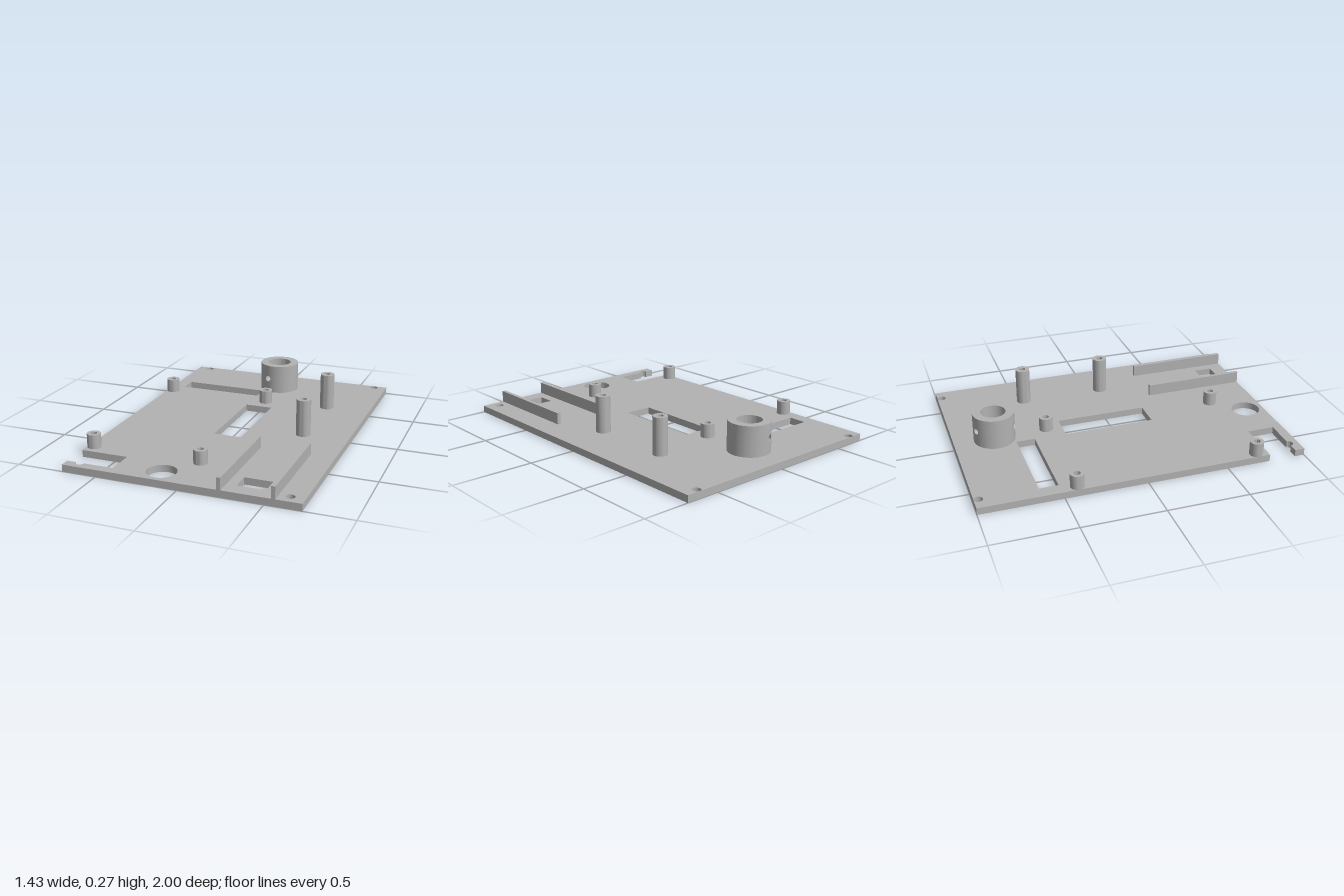
import * as THREE from 'three';
import { toCreasedNormals } from 'three/addons/utils/BufferGeometryUtils.js';

const HALF_W = 0.712, PLATE_TOP = 0.043;

export function createModel() {
  const model = new THREE.Group();
  model.name = 'mountingPlate';
  const grey = new THREE.MeshStandardMaterial({ color: 0xb2b2b2 });
  grey.name = 'plastic grey';

  const add = (name, geometry, x = 0, y = 0, z = 0, parent = model) => {
    const mesh = new THREE.Mesh(geometry, grey);
    mesh.name = name;
    mesh.position.set(x, y, z);
    parent.add(mesh);
    return mesh;
  };

  // Base plate, drawn in plan with shape y = -z; the corner cut-out leaves a thin strip
  const plan = new THREE.Shape();
  plan.moveTo(-HALF_W, 1);
  plan.lineTo(-HALF_W, -0.77);
  plan.lineTo(-0.418, -0.77);
  plan.lineTo(-0.418, -0.94);
  plan.lineTo(-0.602, -0.94);
  plan.absarc(-0.628, -0.94, 0.026, 2 * Math.PI, Math.PI, true);
  plan.lineTo(-HALF_W, -0.94);
  plan.lineTo(-HALF_W, -1);
  plan.lineTo(HALF_W, -1);
  plan.lineTo(HALF_W, 1);
  plan.closePath();

  // Rectangular openings: x0, x1, z0, z1
  for (const [x0, x1, z0, z1] of [
    [-0.63, -0.086, -0.63, -0.515],
    [-0.088, 0.086, -0.317, 0.25],
    [0.315, 0.483, 0.796, 0.91],
  ]) {
    plan.holes.push(new THREE.Path([
      new THREE.Vector2(x0, -z0), new THREE.Vector2(x1, -z0),
      new THREE.Vector2(x1, -z1), new THREE.Vector2(x0, -z1),
    ]));
  }
  // Round openings: x, z, radius
  for (const [x, z, r] of [
    [-0.628, -0.973, 0.026], [0.628, -0.973, 0.026], [0.628, 0.94, 0.026],
    [-0.143, 0.883, 0.089],
  ]) {
    plan.holes.push(new THREE.Path().absarc(x, -z, r, 0, 2 * Math.PI, false));
  }
  const plate = new THREE.ExtrudeGeometry(plan, { depth: PLATE_TOP, bevelEnabled: false, curveSegments: 32 });
  plate.rotateX(-Math.PI / 2);
  add('basePlate', toCreasedNormals(plate, 0.6));

  // Hollow screw posts standing on the plate
  const postGeometry = (outer, inner, height) => toCreasedNormals(new THREE.LatheGeometry([
    new THREE.Vector2(outer, 0), new THREE.Vector2(outer, height),
    new THREE.Vector2(inner, height), new THREE.Vector2(inner, 0),
  ], 32), 0.6);
  const shortPost = postGeometry(0.042, 0.02, 0.086);
  for (const x of [-0.672, 0.013])
    for (const z of [-0.417, 0.697]) add('shortPost', shortPost, x, PLATE_TOP, z);
  const tallPost = postGeometry(0.045, 0.02, 0.231);
  for (const z of [-0.46, 0.068]) add('tallPost', tallPost, 0.427, PLATE_TOP, z);

  // Pair of guide rails
  for (const x of [0.244, 0.552])
    add('guideRail', new THREE.BoxGeometry(0.023, 0.073, 0.642), x, PLATE_TOP + 0.0365, 0.679);

  // Large collar with a cross hole running front to back
  const collar = new THREE.Group();
  collar.name = 'collar';
  collar.position.set(0, PLATE_TOP, -0.747);
  model.add(collar);
  const outer = 0.128, inner = 0.076, height = 0.187;
  const hole = { x: -0.045, y: 0.094, r: 0.02, steps: 24 };
  add('collarWall', collarGeometry(outer, inner, height, hole), 0, 0, 0, collar);
  add('collarRim', new THREE.RingGeometry(inner, outer, 64).rotateX(-Math.PI / 2), 0, height, 0, collar);

  return model;
}

// Inner and outer tube walls split above and below the cross hole, plus the hole lining
function collarGeometry(outer, inner, height, hole) {
  const positions = [];
  const quad = (a, b, c, d) => positions.push(...a, ...b, ...c, ...a, ...c, ...d);
  const ring = [];
  for (let i = 0; i <= hole.steps; i++) {
    const t = (i / hole.steps) * 2 * Math.PI;
    ring.push([hole.x + hole.r * Math.cos(t), hole.y + hole.r * Math.sin(t)]);
  }

  for (const R of [outer, inner]) {
    // Angles from +z, with extra stations across both mouths of the hole
    const angles = [];
    for (let i = 0; i <= 64; i++) angles.push((i / 64) * 2 * Math.PI - Math.PI / 2);
    for (const [x] of ring.slice(0, hole.steps / 2 + 1)) {
      const a = Math.asin(x / R);
      angles.push(a, Math.PI - a);
    }
    angles.sort((p, q) => p - q);
    const point = (a, y) => [R * Math.sin(a), y, R * Math.cos(a)];
    const gap = (a) => Math.sqrt(Math.max(0, hole.r ** 2 - (R * Math.sin(a) - hole.x) ** 2));
    for (let i = 0; i < angles.length - 1; i++) {
      let [a, b] = [angles[i], angles[i + 1]];
      if (b - a < 1e-6) continue;
      if (R === inner) [a, b] = [b, a];
      quad(point(a, 0), point(b, 0), point(b, hole.y - gap(b)), point(a, hole.y - gap(a)));
      quad(point(a, hole.y + gap(a)), point(b, hole.y + gap(b)), point(b, height), point(a, height));
    }
  }

  // Lining of the hole through the front and back walls
  for (const side of [1, -1]) {
    const at = ([x, y], R) => [x, y, side * Math.sqrt(R * R - x * x)];
    for (let i = 0; i < hole.steps; i++) {
      const [p, q] = side > 0 ? [ring[i], ring[i + 1]] : [ring[i + 1], ring[i]];
      quad(at(p, outer), at(q, outer), at(q, inner), at(p, inner));
    }
  }

  const geometry = new THREE.BufferGeometry();
  geometry.setAttribute('position', new THREE.Float32BufferAttribute(positions, 3));
  return toCreasedNormals(geometry, 0.6);
}
